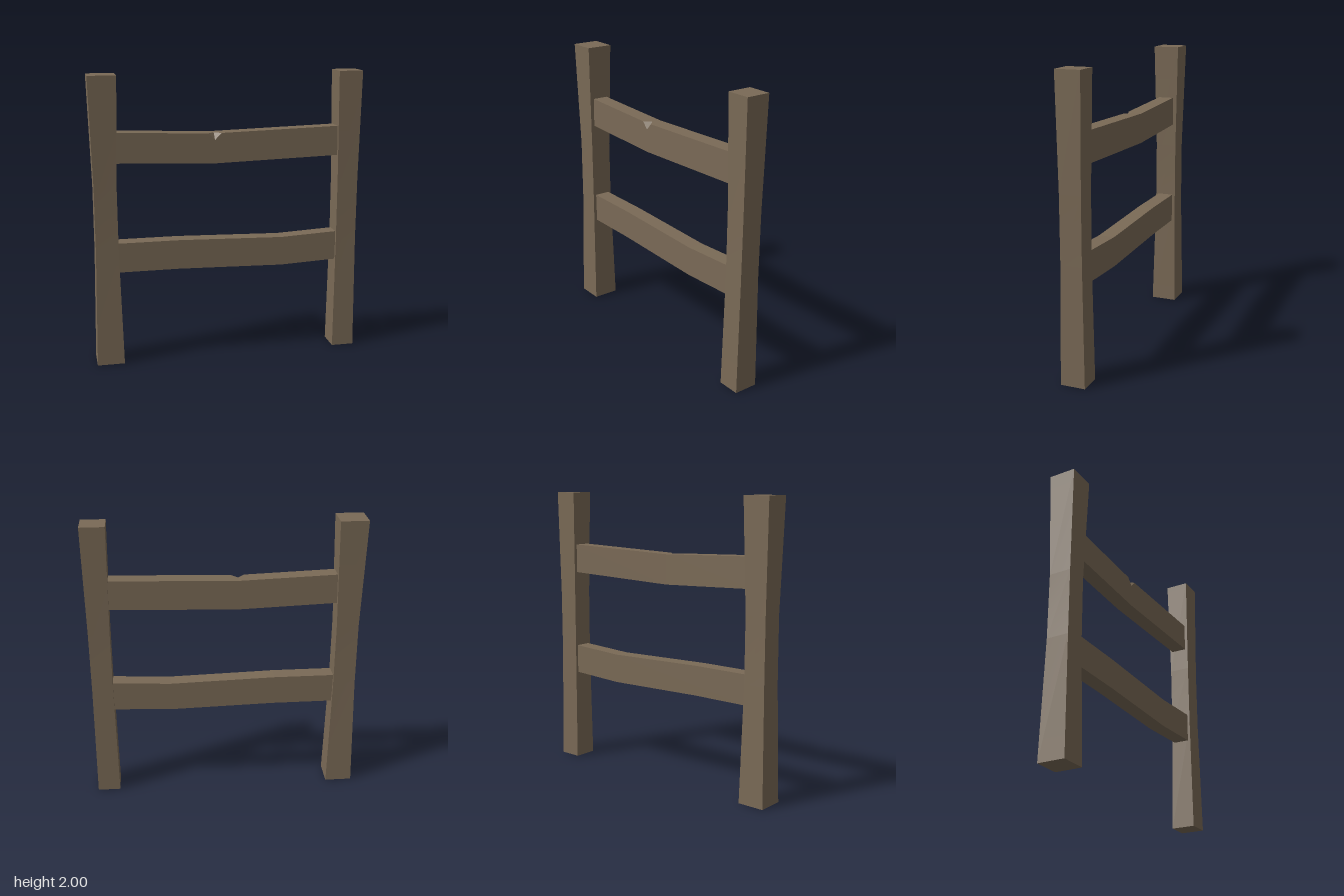
import * as THREE from 'three';

const wood = new THREE.MeshStandardMaterial({ color: 0x7a6a56 });
wood.name = 'weathered wood';

// Square post with a slim waist; levels are [y, x centre, half width, half depth]
function makePost(name, levels) {
  const geo = new THREE.BoxGeometry(2, 2, 2, 1, levels.length - 1, 1);
  const p = geo.attributes.position;
  for (let i = 0; i < p.count; i++) {
    const row = Math.round((p.getY(i) + 1) / 2 * (levels.length - 1));
    const [y, cx, hw, hd] = levels[row];
    p.setXYZ(i, cx + Math.sign(p.getX(i)) * hw, y, Math.sign(p.getZ(i)) * hd);
  }
  geo.computeVertexNormals();
  const mesh = new THREE.Mesh(geo, wood);
  mesh.name = name;
  return mesh;
}

// Flat-faced geometry from convex polygons, each fanned from its first corner
function fromPolygons(polys) {
  const pos = [];
  for (const poly of polys) {
    for (let i = 1; i < poly.length - 1; i++) pos.push(...poly[0], ...poly[i], ...poly[i + 1]);
  }
  const geo = new THREE.BufferGeometry();
  geo.setAttribute('position', new THREE.Float32BufferAttribute(pos, 3));
  geo.computeVertexNormals();
  return geo;
}

const HALF = 0.055; // half thickness of the rails

// Sagging upper rail with a three-sided chip cut from its top front edge
function makeUpperRail() {
  const xl = -0.8, xm = -0.095, xr = 0.8, chip = 0.045;
  const topEnd = 1.621, topMid = 1.596, botEnd = 1.416, botMid = 1.39;
  const sag = (x) => topMid + (topEnd - topMid) * Math.abs((x - xm) / ((x < xm ? xl : xr) - xm));
  const pt = (x, y, z) => [x, y, z];
  const [tlf, tlb] = [HALF, -HALF].map((z) => pt(xl, topEnd, z));
  const [trf, trb] = [HALF, -HALF].map((z) => pt(xr, topEnd, z));
  const [blf, blb] = [HALF, -HALF].map((z) => pt(xl, botEnd, z));
  const [brf, brb] = [HALF, -HALF].map((z) => pt(xr, botEnd, z));
  const [bmf, bmb] = [HALF, -HALF].map((z) => pt(xm, botMid, z));
  const tmb = pt(xm, topMid, -HALF);
  const a = pt(xm - chip, sag(xm - chip), HALF);
  const b = pt(xm + chip, sag(xm + chip), HALF);
  const c = pt(xm, 1.55, HALF);
  const d = pt(xm, topMid, 0.008);
  const mesh = new THREE.Mesh(fromPolygons([
    [d, tmb, tlb, tlf, a], [d, b, trf, trb, tmb],     // top
    [c, a, tlf, blf, bmf], [c, bmf, brf, trf, b],     // front
    [a, c, d], [b, d, c],                             // chip
    [tmb, bmb, blb, tlb], [trb, brb, bmb, tmb],       // back
    [blf, blb, bmb, bmf], [bmf, bmb, brb, brf],       // underside
    [tlf, tlb, blb, blf], [trf, brf, brb, trb],       // ends
  ]), wood);
  mesh.name = 'upperRail';
  return mesh;
}

// Lower rail: bent outline extruded through its thickness
function makeLowerRail() {
  const outline = [
    [-0.8, 0.656], [-0.35, 0.656], [0.38, 0.638], [0.8, 0.657],
    [0.8, 0.863], [0.38, 0.842], [-0.35, 0.862], [-0.8, 0.862],
  ].map(([x, y]) => new THREE.Vector2(x, y));
  const geo = new THREE.ExtrudeGeometry(new THREE.Shape(outline), { depth: 2 * HALF, bevelEnabled: false });
  geo.translate(0, 0, -HALF);
  const mesh = new THREE.Mesh(geo, wood);
  mesh.name = 'lowerRail';
  return mesh;
}

export function createModel() {
  const group = new THREE.Group();
  group.name = 'fence';
  group.add(
    makePost('rightPost', [
      [0, -0.845, 0.094, 0.093], [0.8, -0.845, 0.077, 0.077],
      [1.25, -0.845, 0.076, 0.076], [2, -0.845, 0.095, 0.093],
    ]),
    makePost('leftPost', [
      [0, 0.851, 0.079, 0.084], [0.8, 0.852, 0.072, 0.073],
      [1.25, 0.852, 0.073, 0.073], [2, 0.85, 0.084, 0.084],
    ]),
    makeUpperRail(),
    makeLowerRail(),
  );
  return group;
}
